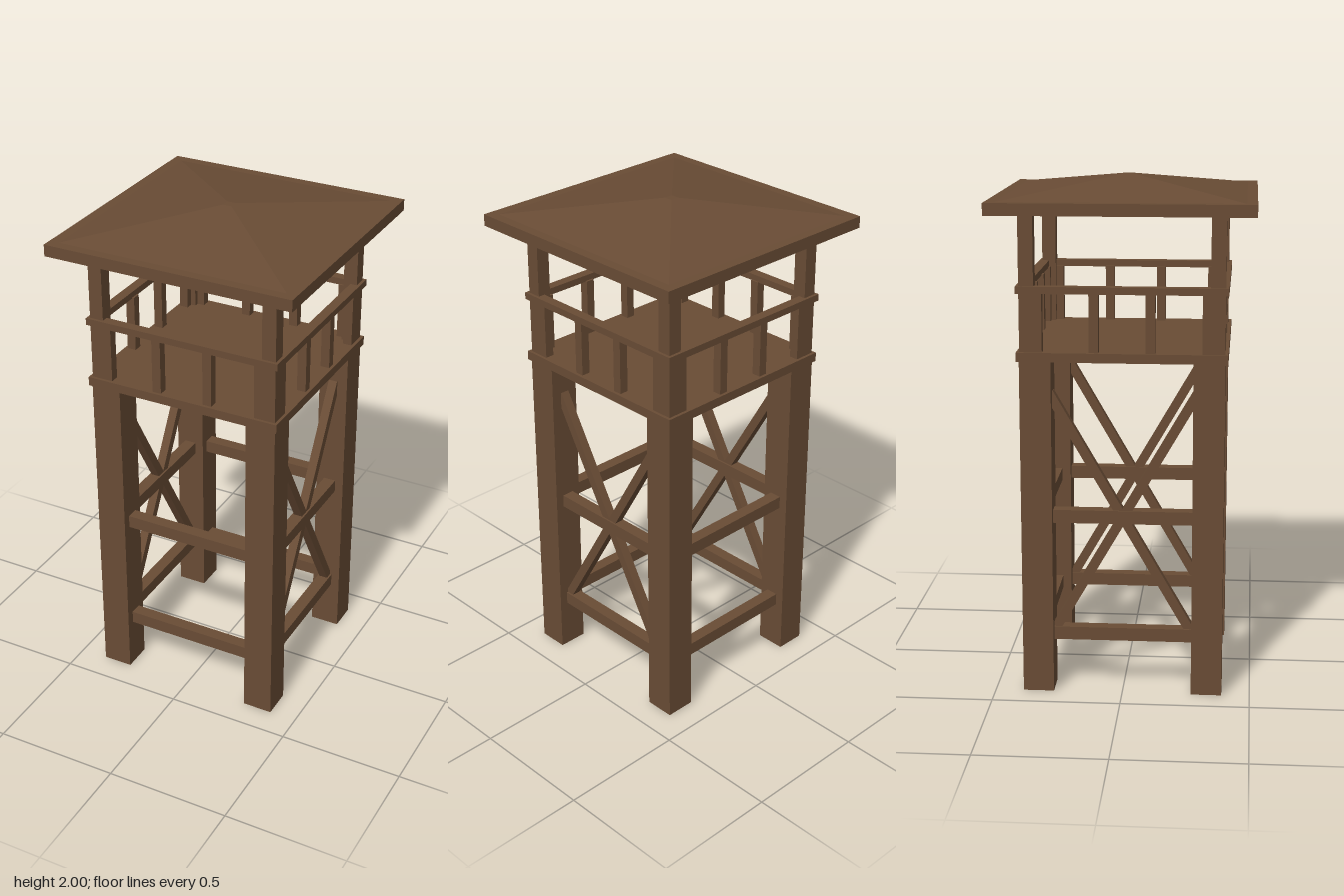
import * as THREE from 'three';

export function createModel() {
  const tower = new THREE.Group();
  tower.name = 'watchtower';
  const wood = new THREE.MeshStandardMaterial({ color: 0x694c35 });
  wood.name = 'brown wood';

  const box = (parent, name, size, pos) => {
    const mesh = new THREE.Mesh(new THREE.BoxGeometry(...size), wood);
    mesh.name = name;
    mesh.position.set(...pos);
    parent.add(mesh);
    return mesh;
  };

  // Corner legs and the slimmer posts that carry the roof
  for (const x of [-1, 1]) {
    for (const z of [-1, 1]) {
      box(tower, 'leg', [0.12, 1.33, 0.12], [x * 0.33, 0.665, z * 0.33]);
      box(tower, 'roofPost', [0.056, 0.54, 0.056], [x * 0.36, 1.62, z * 0.36]);
    }
  }

  // Platform floor
  box(tower, 'platform', [0.8, 0.036, 0.8], [0, 1.342, 0]);

  // Each of the four sides: cross beams, railing and balusters
  for (let i = 0; i < 4; i++) {
    const side = new THREE.Group();
    side.name = 'side';
    side.rotation.y = i * Math.PI / 2;
    tower.add(side);

    for (const y of [0.23, 0.708]) box(side, 'crossBeam', [0.56, 0.052, 0.05], [0, y, 0.33]);

    // Rails meet end to end at the corners
    box(side, 'rail', [0.76, 0.027, 0.04], [-0.02, 1.597, 0.38]);
    for (const x of [-0.32, -0.107, 0.107, 0.32]) {
      box(side, 'baluster', [0.036, 0.23, 0.036], [x, 1.472, 0.37]);
    }

    // Diagonal braces on the left and right sides only
    if (i % 2 === 1) {
      for (const s of [-1, 1]) {
        const brace = box(side, 'diagonalBrace', [1.13, 0.036, 0.036], [0, 0.705, 0.33]);
        brace.rotation.z = s * Math.PI / 3;
      }
    }
  }

  // Roof slab and shallow pyramid with a tiny flat tip
  box(tower, 'roofSlab', [1, 0.046, 1], [0, 1.907, 0]);
  const pyramid = new THREE.CylinderGeometry(0.018 * Math.SQRT2, 0.46 * Math.SQRT2, 0.07, 4)
    .rotateY(Math.PI / 4)
    .toNonIndexed();
  pyramid.computeVertexNormals();
  const roof = new THREE.Mesh(pyramid, wood);
  roof.name = 'roofPyramid';
  roof.position.y = 1.965;
  tower.add(roof);

  return tower;
}
